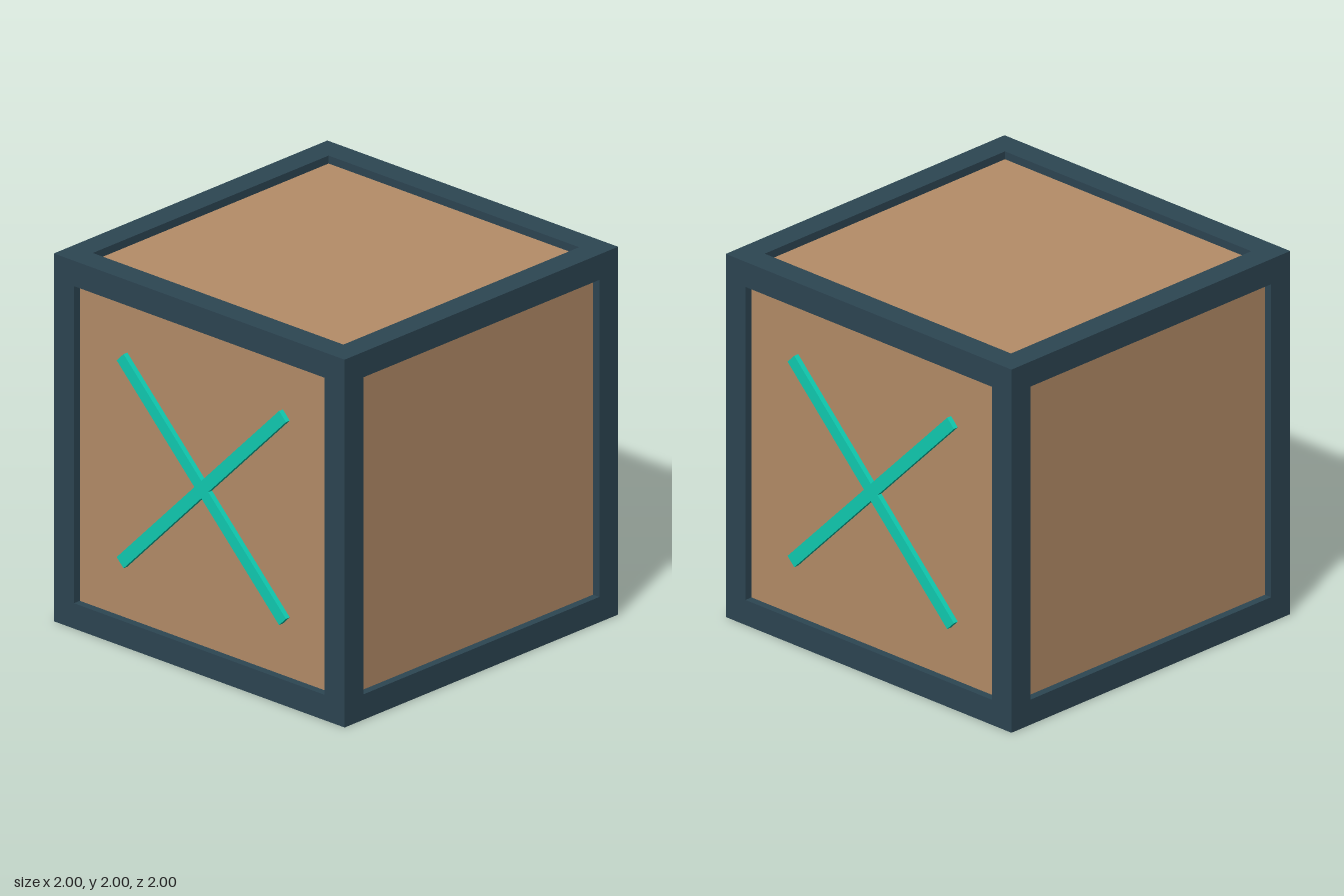
import * as THREE from 'three';

const SIZE = 2, BEAM = 0.138, RECESS = 0.043;

function material(name, color) {
  const m = new THREE.MeshStandardMaterial({ color });
  m.name = name;
  return m;
}

// Outline of a diagonal cross: an upright plus sign turned by 45 degrees
function crossShape(length, width) {
  const l = length / 2, w = width / 2, points = [];
  for (let i = 0; i < 4; i++) {
    const turn = Math.PI / 4 + i * Math.PI / 2;
    for (const [x, y] of [[w, -w], [l, -w], [l, w]]) {
      points.push(new THREE.Vector2(x, y).rotateAround(new THREE.Vector2(), turn));
    }
  }
  return new THREE.Shape(points);
}

export function createModel() {
  const slate = material('slate frame', 0x2d4653);
  const wood = material('tan panel', 0xb58d68);
  const teal = material('teal cross', 0x10ccb2);

  const crate = new THREE.Group();
  crate.name = 'crate';
  const add = (name, geometry, mat, x, y, z, parent = crate) => {
    const mesh = new THREE.Mesh(geometry, mat);
    mesh.name = name;
    mesh.position.set(x, y, z);
    parent.add(mesh);
    return mesh;
  };

  // Recessed panels: one inner box shows through all six openings
  const inner = SIZE - 2 * RECESS;
  add('panels', new THREE.BoxGeometry(inner, inner, inner), wood, 0, 1, 0);

  // Frame: four posts, with rails fitted between them at top and bottom
  const frame = new THREE.Group();
  frame.name = 'frame';
  crate.add(frame);
  const off = (SIZE - BEAM) / 2, span = SIZE - 2 * BEAM;
  const post = new THREE.BoxGeometry(BEAM, SIZE, BEAM);
  const railX = new THREE.BoxGeometry(span, BEAM, BEAM);
  const railZ = new THREE.BoxGeometry(BEAM, BEAM, span);
  for (const a of [-off, off]) {
    for (const b of [-off, off]) {
      add('post', post, slate, a, 1, b, frame);
      add('crossRail', railX, slate, 0, 1 + a, b, frame);
      add('sideRail', railZ, slate, a, 1 + b, 0, frame);
    }
  }

  // Raised crosses on the front and back panels
  const cross = new THREE.ExtrudeGeometry(crossShape(1.58, 0.067), { depth: 0.04, bevelEnabled: false });
  add('frontCross', cross, teal, 0, 1, 0.945);
  add('backCross', cross, teal, 0, 1, -0.945).rotation.y = Math.PI;

  return crate;
}
